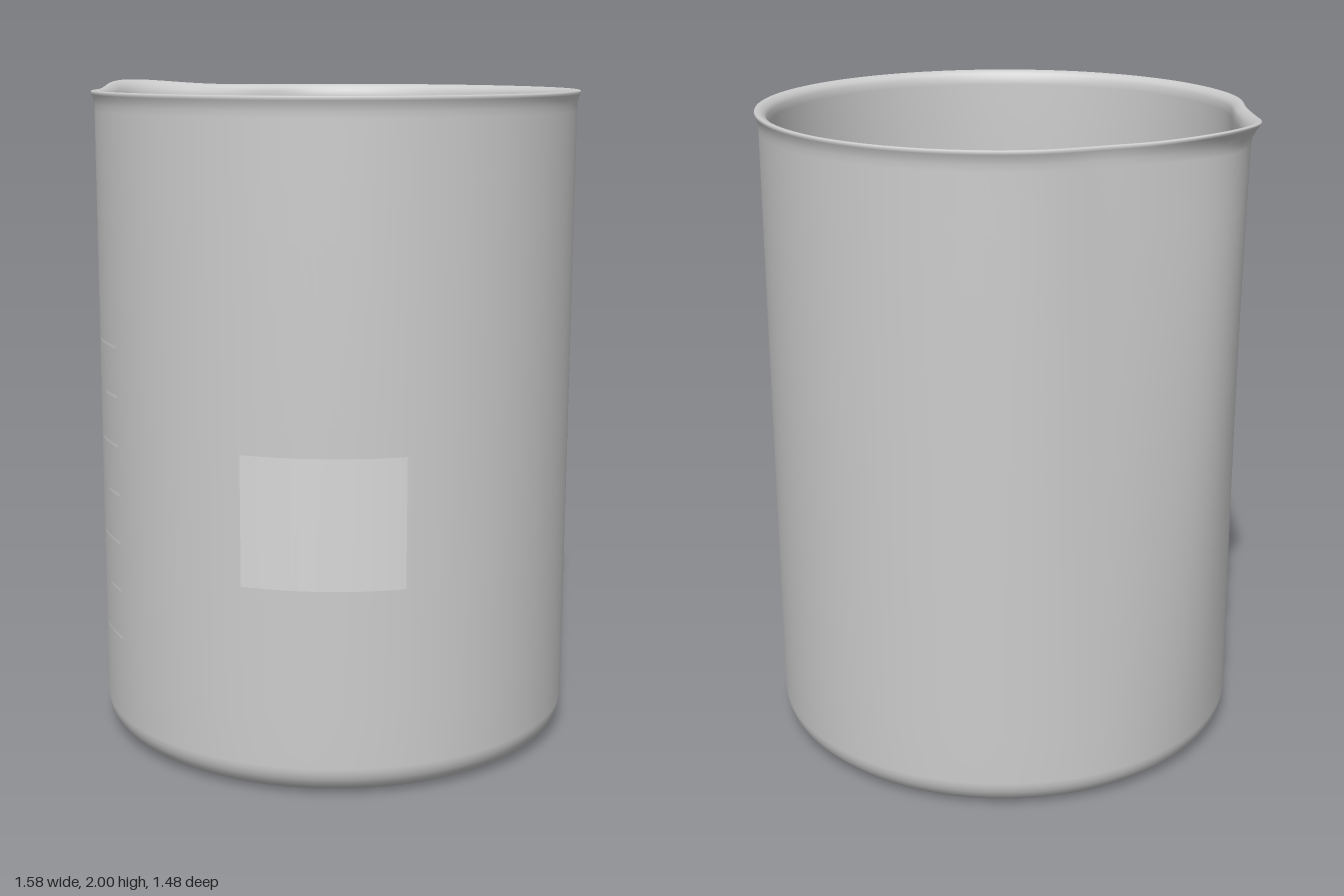
import * as THREE from 'three';
import { mergeVertices } from 'three/addons/utils/BufferGeometryUtils.js';

const CX = 0.05; // axis of the round body
const R = 0.73; // outer wall radius

// Bulge of the pouring spout, by angle in degrees away from -x
const spoutBulge = a =>
  0.1 * Math.exp(-((a / 15.5) ** 2)) - 0.016 * Math.exp(-(((a - 33) / 10) ** 2));

// The spout grows evenly up the wall, then flares at the lip
const spoutGrowth = y => y < 1.93
  ? 0.72 * Math.max(0, y - 0.06) / 1.87
  : 0.72 + 0.28 * Math.min(1, (y - 1.93) / 0.045);

function arc(cx, cy, r, from, to, n) {
  return Array.from({ length: n + 1 }, (_, i) => {
    const t = from + (to - from) * i / n;
    return [cx + r * Math.cos(t), cy + r * Math.sin(t)];
  });
}

function vesselGeometry() {
  const H = Math.PI / 2;
  const wall = (r, y0, y1, n) =>
    Array.from({ length: n }, (_, i) => [r, y0 + (y1 - y0) * (i + 1) / (n + 1)]);
  const profile = [
    [0, 0], [0.4, 0], [0.62, 0],
    ...arc(R - 0.09, 0.09, 0.09, -H, 0, 8), // outer bottom edge
    ...wall(R, 0.09, 1.92, 10),
    [R, 1.92], [0.7305, 1.94], [0.734, 1.957], [0.739, 1.968], // rolled lip
    [0.741, 1.974], [0.739, 1.979], [0.733, 1.98],
    [0.722, 1.977], [0.71, 1.969], [0.703, 1.957], [0.7, 1.935],
    ...wall(0.7, 1.935, 0.11, 10),
    ...arc(0.62, 0.11, 0.08, 0, -H, 8), // inner bottom edge
    [0.6, 0.03], [0.4, 0.03], [0, 0.03],
  ].map(([x, y]) => new THREE.Vector2(x, y));

  let geo = new THREE.LatheGeometry(profile, 160);
  const p = geo.attributes.position;
  for (let i = 0; i < p.count; i++) {
    const x = p.getX(i), y = p.getY(i), z = p.getZ(i), r = Math.hypot(x, z);
    if (r > 0.5) {
      const a = Math.abs(Math.atan2(z, -x)) * 180 / Math.PI;
      const k = 1 + spoutBulge(a) * spoutGrowth(y) / r;
      const lift = 0.02 * Math.exp(-((a / 15) ** 2)) * THREE.MathUtils.smoothstep(y, 1.9, 1.975);
      p.setXYZ(i, x * k, y + lift, z * k);
    }
  }
  geo.deleteAttribute('uv');
  geo.deleteAttribute('normal');
  geo = mergeVertices(geo, 1e-4);
  geo.computeVertexNormals();
  return geo;
}

// Thin curved plate on the outer wall; angles in degrees from +z towards +x
function wallPlate(name, material, a0, a1, y0, y1) {
  const rad = Math.PI / 180;
  const geo = new THREE.CylinderGeometry(
    R + 0.003, R + 0.003, y1 - y0, 16, 1, true, a0 * rad, (a1 - a0) * rad);
  const mesh = new THREE.Mesh(geo, material);
  mesh.name = name;
  mesh.position.set(CX, (y0 + y1) / 2, 0);
  return mesh;
}

export function createModel() {
  const glass = new THREE.MeshStandardMaterial({ color: 0xcccccc });
  glass.name = 'grey glass';
  const print = new THREE.MeshStandardMaterial({ color: 0xd8d8d8 });
  print.name = 'pale print';

  const beaker = new THREE.Group();
  beaker.name = 'beaker';

  const vessel = new THREE.Mesh(vesselGeometry(), glass);
  vessel.name = 'vessel';
  vessel.position.x = CX;
  beaker.add(vessel);

  // Blank writing panel
  beaker.add(wallPlate('writingPanel', print, 14, 51, 0.62, 1.0));

  // Graduation marks, alternating long and short
  for (let i = 0; i < 7; i++) {
    const y = 0.35 + i * 0.149;
    beaker.add(wallPlate('graduationMark', print, i % 2 ? -34 : -39, -26, y - 0.004, y + 0.004));
  }
  return beaker;
}
